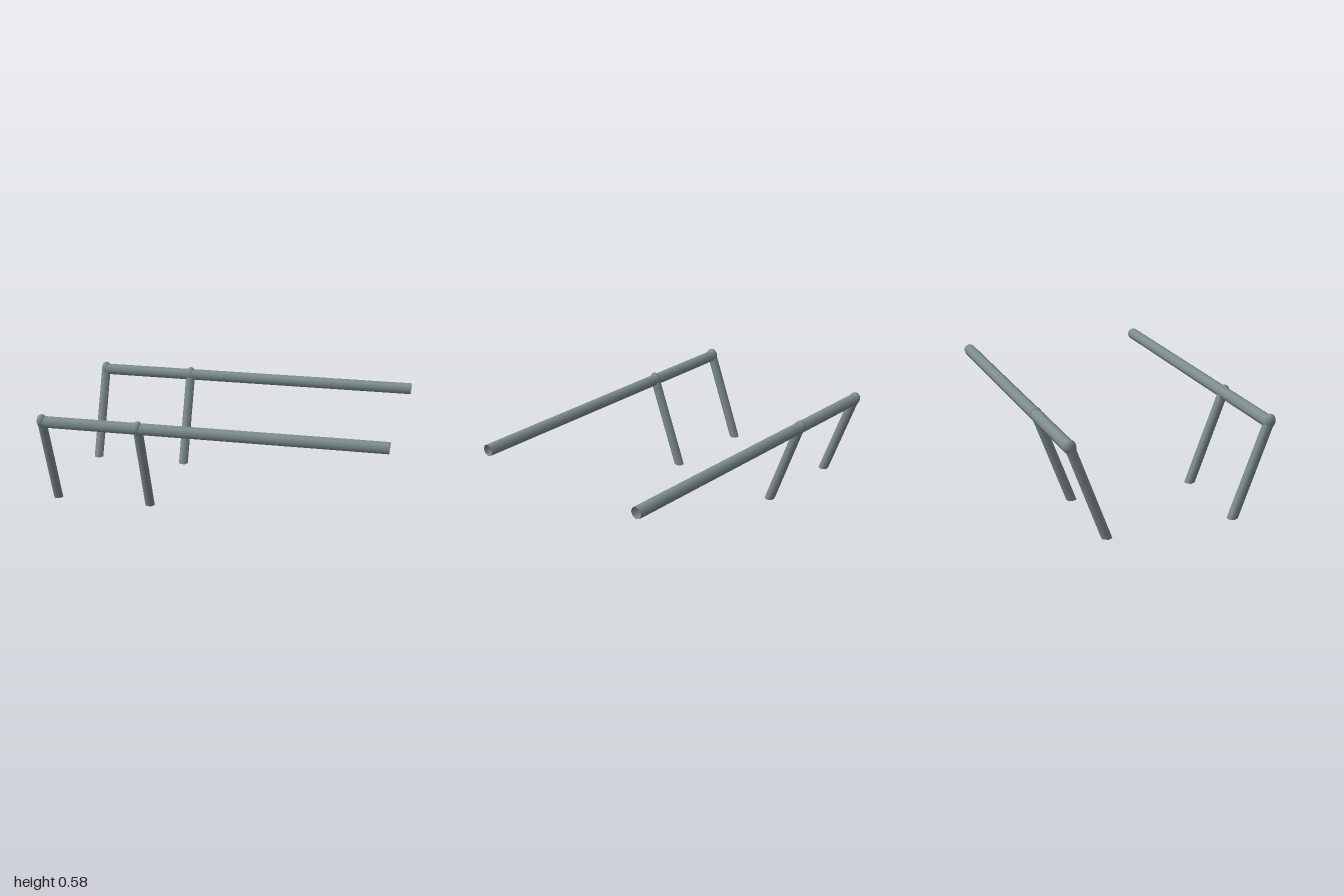
import * as THREE from 'three';

export function createModel() {
  const model = new THREE.Group();
  const metal = new THREE.MeshStandardMaterial({ color: 0x7f8f8c, side: THREE.DoubleSide });
  metal.name = 'greyMetal';

  const railY = 0.532, railZ = 0.568, footZ = 0.367;
  const lean = (railZ - footZ) / railY;

  function add(parent, name, geometry, x, y, z) {
    const mesh = new THREE.Mesh(geometry, metal);
    mesh.name = name;
    mesh.position.set(x, y, z);
    parent.add(mesh);
  }

  for (const side of [1, -1]) {
    const handrail = new THREE.Group();
    handrail.name = side > 0 ? 'frontHandrail' : 'backHandrail';
    model.add(handrail);

    // Long open pipe
    const pipe = new THREE.CylinderGeometry(0.035, 0.035, 1.97, 8, 1, true);
    pipe.rotateZ(Math.PI / 2);
    add(handrail, 'rail', pipe, 0.015, railY, side * railZ);

    for (const x of [-0.971, -0.404]) {
      // Six-sided leg, sheared so its foot is cut level with the ground
      const leg = new THREE.CylinderGeometry(0.029, 0.029, railY, 6, 1, true, Math.PI / 2);
      leg.translate(0, railY / 2, 0);
      leg.scale(1, 1, Math.hypot(1, lean));
      leg.applyMatrix4(new THREE.Matrix4().set(
        1, 0, 0, 0,
        0, 1, 0, 0,
        0, side * lean, 1, 0,
        0, 0, 0, 1));
      add(handrail, 'leg', leg, x, 0, side * footZ);

      // Rounded joint where the leg meets the rail
      const joint = new THREE.SphereGeometry(1, 12, 8);
      joint.scale(0.029, 0.042, 0.036);
      joint.rotateX(side * Math.atan(lean));
      add(handrail, 'joint', joint, x, railY + 0.004, side * (railZ + 0.001));
    }
  }
  return model;
}
